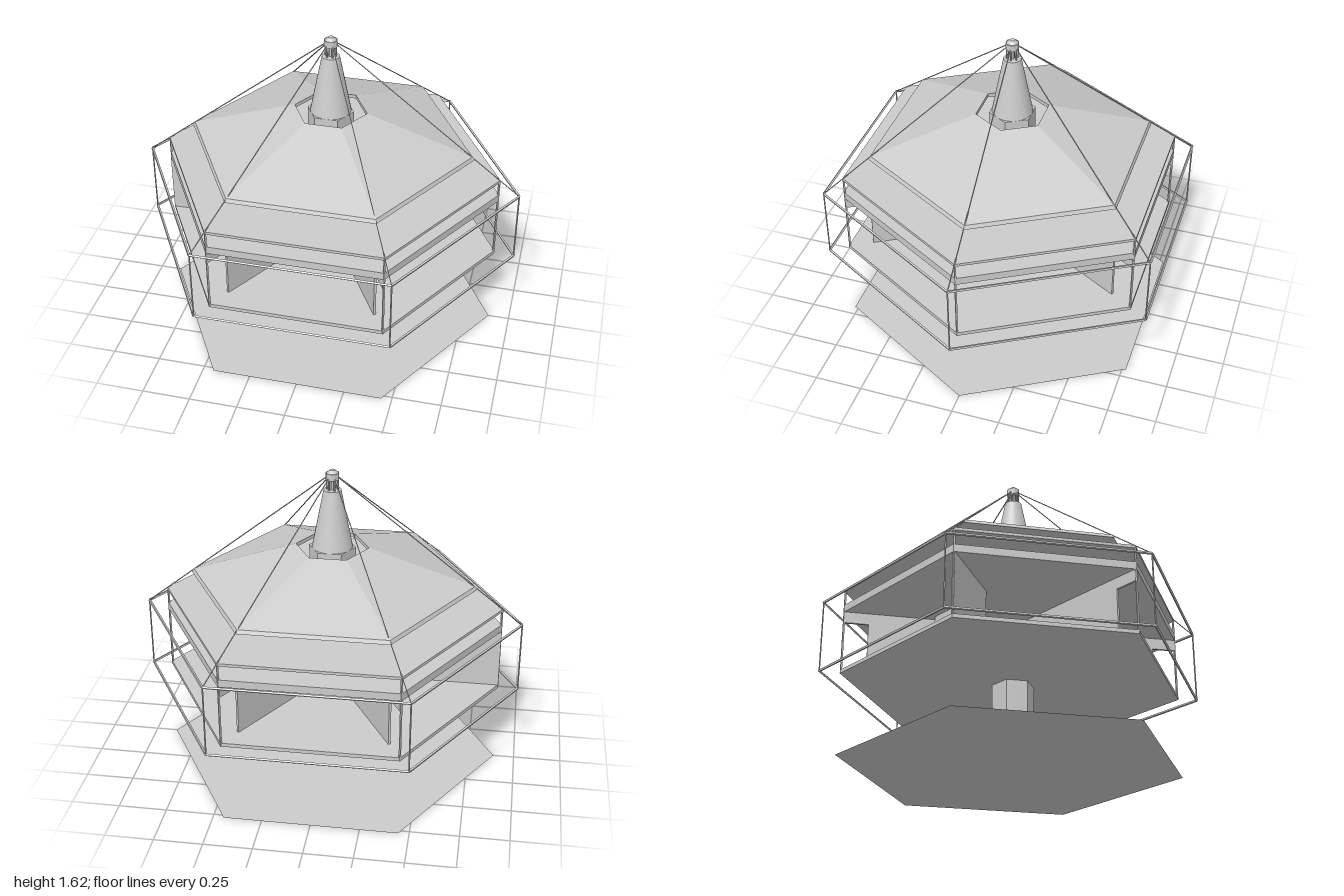
import * as THREE from 'three';

const mat = new THREE.MeshStandardMaterial({ color: 0xcccccc, flatShading: true });
const thinMat = new THREE.MeshStandardMaterial({ color: 0xcccccc, side: THREE.DoubleSide });
const smoothMat = new THREE.MeshStandardMaterial({ color: 0xcccccc });

// Corner k of a hexagon with corners on the x axis
function corner(k, radius, y) {
  const a = k * Math.PI / 3;
  return new THREE.Vector3(radius * Math.cos(a), y, radius * Math.sin(a));
}

export function createModel() {
  const model = new THREE.Group();

  function add(name, geometry, material = mat) {
    const mesh = new THREE.Mesh(geometry, material);
    mesh.name = name;
    model.add(mesh);
    return mesh;
  }

  // Upright prism, hexagonal by default, from y0 to y1
  function prism(name, r0, r1, y0, y1, sides = 6, material = mat) {
    const g = new THREE.CylinderGeometry(r1, r0, y1 - y0, sides, 1, false, Math.PI / 6);
    return add(name, g.translate(0, (y0 + y1) / 2, 0), material);
  }

  // Thin square rod between two points
  function rod(name, a, b, radius) {
    const mesh = add(name, new THREE.CylinderGeometry(radius, radius, a.distanceTo(b), 4));
    mesh.position.copy(a).add(b).multiplyScalar(0.5);
    mesh.quaternion.setFromUnitVectors(new THREE.Vector3(0, 1, 0), b.clone().sub(a).normalize());
  }

  // Ground outline
  const ground = new THREE.CircleGeometry(0.89, 6).rotateX(-Math.PI / 2);
  add('ground', ground, thinMat);

  // Central column, flared under the roof
  prism('column', 0.11, 0.11, 0, 0.93);
  prism('columnFlare', 0.11, 0.121, 0.93, 0.98);
  prism('columnHead', 0.121, 0.121, 0.98, 1.2);

  // Floor, ceiling and upper deck
  prism('floor', 0.89, 0.89, 0.43, 0.45);
  prism('ceiling', 0.89, 0.89, 0.77, 0.81);
  prism('upperDeck', 0.89, 0.89, 0.885, 0.9);

  // Hollow hexagonal roof with an opening round the spire
  const profile = [[0.19, 1.2], [0.19, 1.18], [0.75, 1.0], [0.74, 1.02], [0.19, 1.2]]
    .map(([r, y]) => new THREE.Vector2(r, y));
  const roof = new THREE.LatheGeometry(profile, 6, Math.PI / 6).toNonIndexed();
  roof.computeVertexNormals();
  add('roof', roof, new THREE.MeshStandardMaterial({
    color: 0xcccccc, flatShading: true, side: THREE.DoubleSide }));

  // Spire, lantern rods and cap
  prism('spire', 0.105, 0.045, 1.2, 1.51, 32, smoothMat);
  prism('lanternCore', 0.012, 0.012, 1.51, 1.57, 8);
  for (let k = 0; k < 6; k++) rod('lanternRod', corner(k, 0.028, 1.51), corner(k, 0.028, 1.57), 0.004);
  prism('cap', 0.034, 0.034, 1.565, 1.6, 12);
  prism('capTop', 0.03, 0.014, 1.6, 1.615, 12);

  // Radial partitions with a beam out to the corner
  const section = new THREE.Shape([[0.1, 0.45], [0.76, 0.45], [0.76, 0.71], [0.885, 0.71],
    [0.885, 0.77], [0.1, 0.77]].map(([x, y]) => new THREE.Vector2(x, y)));
  for (const k of [1, 2, 4, 5]) {
    const g = new THREE.ExtrudeGeometry(section, { depth: 0.012, bevelEnabled: false });
    add('partition', g.translate(0, 0, -0.006)).rotation.y = -k * Math.PI / 3;
  }

  // Closet walls on the right-hand side
  add('sideWall', new THREE.BoxGeometry(0.445, 0.32, 0.012).translate(-0.667, 0.61, 0));
  const closet = add('closetWall', new THREE.PlaneGeometry(0.4, 0.32));
  closet.position.set(-0.345, 0.61, -0.173);
  closet.rotation.y = -Math.PI * 2 / 3;

  // Corner posts, outer rail frame and stay cables
  const peak = new THREE.Vector3(0, 1.6, 0);
  for (let k = 0; k < 6; k++) {
    rod('cornerPost', corner(k, 0.885, 0.43), corner(k, 0.885, 0.9), 0.006);
    rod('railPost', corner(k, 0.993, 0.435), corner(k, 0.993, 0.815), 0.004);
    for (const y of [0.435, 0.815]) rod('rail', corner(k, 0.993, y), corner(k + 1, 0.993, y), 0.007);
    rod('stayCable', peak, corner(k, 0.993, 0.815), 0.003);
  }

  return model;
}
